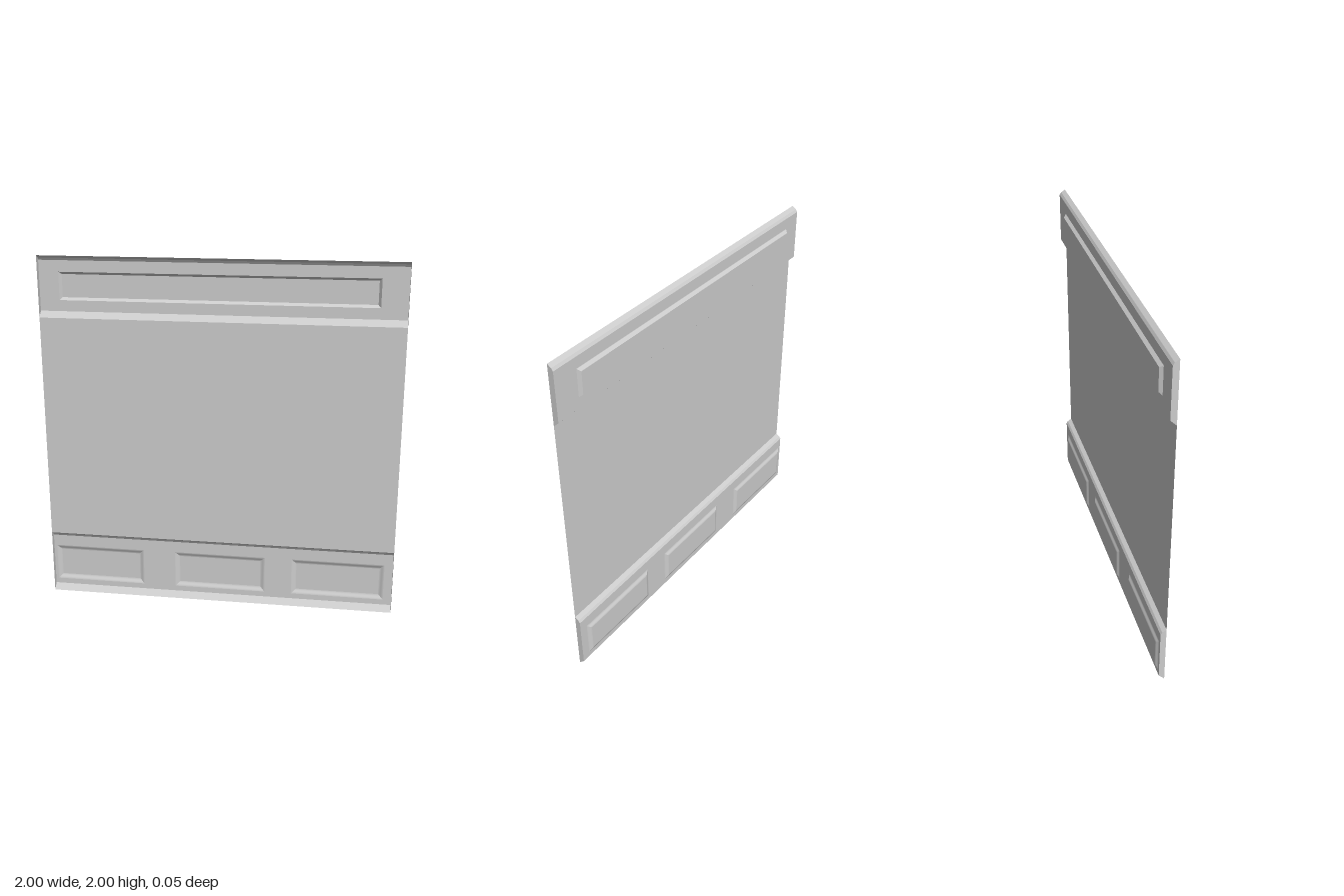
import * as THREE from 'three';

const FACE = 0.024;   // plane of the wall sheet
const BACK = -0.008;  // plane of the raised rails

export function createModel() {
  const group = new THREE.Group();
  const grey = new THREE.MeshStandardMaterial({ color: 0xcccccc, side: THREE.DoubleSide });
  grey.name = 'plain grey';

  const add = (geometry, name, parent) => {
    const mesh = new THREE.Mesh(geometry, grey);
    mesh.name = name;
    parent.add(mesh);
    return mesh;
  };

  // Surface between rows of two points each, smooth along the rows
  const strip = (rows) => {
    const geometry = new THREE.BufferGeometry();
    const index = [];
    for (let i = 0; i < rows.length - 1; i++) {
      const a = i * 2;
      index.push(a, a + 2, a + 1, a + 1, a + 2, a + 3);
    }
    geometry.setAttribute('position', new THREE.Float32BufferAttribute(rows.flat(2), 3));
    geometry.setIndex(index);
    geometry.computeVertexNormals();
    return geometry;
  };

  // Corners of a rectangle [x0, x1, y0, y1] shrunk by an inset
  const corners = ([x0, x1, y0, y1], inset = 0) => [
    [x0 + inset, y0 + inset], [x1 - inset, y0 + inset],
    [x1 - inset, y1 - inset], [x0 + inset, y1 - inset],
  ];
  const toShape = (points) => new THREE.Shape(points.map(([x, y]) => new THREE.Vector2(x, y)));

  // Pressed panel: four mitred sides following [inset, z] steps, and a flat floor
  const addPanel = (rect, steps, name, parent) => {
    const panel = new THREE.Group();
    panel.name = name;
    parent.add(panel);
    for (let s = 0; s < 4; s++) {
      const rows = steps.map(([inset, z]) => {
        const c = corners(rect, inset);
        return [[...c[s], z], [...c[(s + 1) % 4], z]];
      });
      add(strip(rows), 'panelSide', panel);
    }
    const [inset, z] = steps[steps.length - 1];
    add(new THREE.ShapeGeometry(toShape(corners(rect, inset))), 'panelFloor', panel).position.z = z;
  };

  // Hollow rail: bevelled top and bottom, end caps, flat back with panels
  const addRail = (bottom, top, panels, steps, name) => {
    const rail = new THREE.Group();
    rail.name = name;
    group.add(rail);
    const profile = [
      [FACE, bottom], [BACK, bottom + 0.033], [BACK, top - 0.028],
      [0.001, top - 0.014], [FACE, top],
    ];
    const row = ([z, y]) => [[-1, y, z], [1, y, z]];
    [[0, 'lowerBevel'], [2, 'upperBevel'], [3, 'topLip']].forEach(([i, part]) =>
      add(strip([row(profile[i]), row(profile[i + 1])]), part, rail));

    for (const x of [-1, 1]) {
      const cap = new THREE.ShapeGeometry(toShape(profile)).rotateY(-Math.PI / 2);
      add(cap, 'endCap', rail).position.x = x;
    }

    const back = toShape(corners([-1, 1, profile[1][1], profile[2][1]]));
    for (const rect of panels) back.holes.push(toShape(corners(rect)));
    add(new THREE.ShapeGeometry(back), 'railFace', rail).position.z = BACK;
    for (const rect of panels) addPanel(rect, steps, 'pressedPanel', rail);
  };

  // Flat wall sheet between the rails
  add(new THREE.PlaneGeometry(2, 1.285), 'wallSheet', group).position.set(0, 1.0175, FACE);

  // Upper rail with one long crisp panel
  addRail(1.66, 2, [[-0.89, 0.857, 1.754, 1.909]], [[0, BACK], [0.014, -0.024]], 'upperRail');

  // Lower rail with three softly rounded panels
  const soft = [];
  for (let i = 0; i <= 6; i++) {
    const t = i / 6;
    soft.push([0.028 * t, BACK - 0.011 * t * t * (3 - 2 * t)]);
  }
  const lower = [-0.984, -0.265, 0.421].map((x) => [x, x + 0.531, 0.064, 0.281]);
  addRail(0, 0.375, lower, soft, 'lowerRail');

  return group;
}
